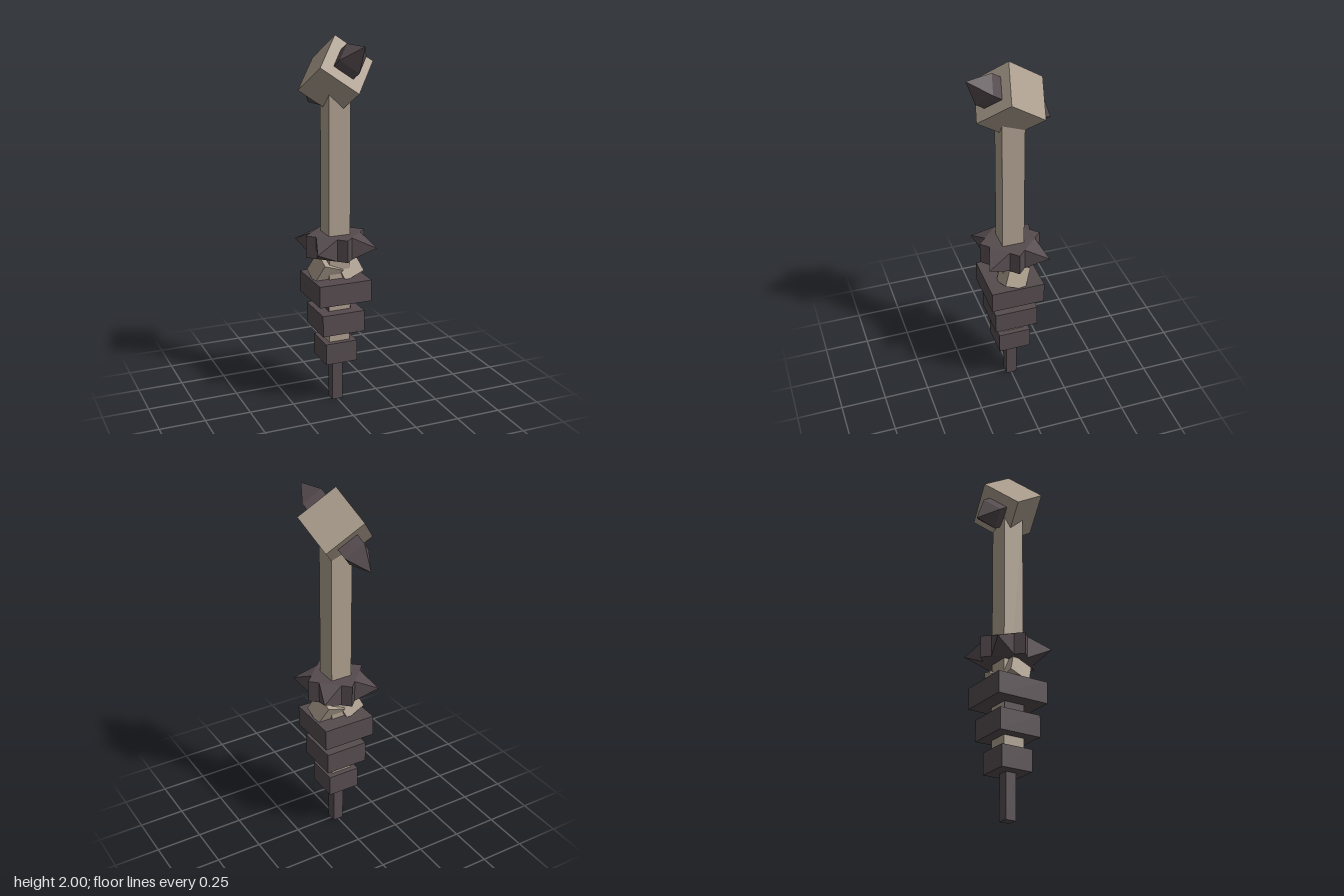
import * as THREE from 'three';

export function createModel() {
  const model = new THREE.Group();
  const bone = new THREE.MeshStandardMaterial({ color: 0xac9e8e, flatShading: true });
  const iron = new THREE.MeshStandardMaterial({ color: 0x554b4e, flatShading: true });
  bone.name = 'paleBone';
  iron.name = 'darkIron';

  function box(parent, name, material, w, h, d, x, y, z) {
    const mesh = new THREE.Mesh(new THREE.BoxGeometry(w, h, d), material);
    mesh.name = name;
    mesh.position.set(x, y, z);
    parent.add(mesh);
    return mesh;
  }

  // Square pyramid pointing along +z, with its base at the given z
  function spike(parent, name, z) {
    const geo = new THREE.ConeGeometry(0.06 * Math.SQRT2, 0.118, 4, 1);
    geo.rotateY(Math.PI / 4).rotateX(Math.PI / 2).translate(0, 0, z + 0.059);
    const mesh = new THREE.Mesh(geo, iron);
    mesh.name = name;
    parent.add(mesh);
  }

  // Handle: end pin, shaft and three stepped grip blocks
  box(model, 'endPin', iron, 0.06, 0.26, 0.06, 0, 0.13, 0);
  box(model, 'shaft', bone, 0.12, 1.44, 0.12, 0, 1.02, 0);
  [[0.18, 0.302], [0.24, 0.481], [0.296, 0.66]].forEach(([w, y]) =>
    box(model, 'gripBlock', iron, w, 0.118, w, 0, y, 0));

  // Dark inlays on the sides of the shaft between the upper grip blocks
  for (const s of [1, -1]) box(model, 'gripInlay', iron, 0.004, 0.066, 0.12, s * 0.061, 0.57, 0);

  // Two tilted knuckle cubes below the guard
  for (const turn of [0, Math.PI]) {
    const pivot = new THREE.Group();
    pivot.name = 'knuckle';
    pivot.rotation.y = turn;
    model.add(pivot);
    box(pivot, 'knuckleCube', bone, 0.12, 0.12, 0.12, 0.06, 0.758, 0).rotation.set(-0.4, 0, 0.37);
  }

  // Guard: block turned by 45 degrees with a spike on each side
  const guard = new THREE.Group();
  guard.name = 'spikedGuard';
  guard.position.y = 0.9;
  guard.rotation.y = Math.PI / 4;
  model.add(guard);
  box(guard, 'guardBlock', iron, 0.238, 0.12, 0.238, 0, 0, 0);
  for (let i = 0; i < 4; i++) {
    const side = new THREE.Group();
    side.name = 'guardSpike';
    side.rotation.y = i * Math.PI / 2;
    guard.add(side);
    spike(side, 'guardSpikePoint', 0.119);
  }

  // Head: cube standing on one corner, with a spike on two opposite faces
  const head = new THREE.Group();
  head.name = 'head';
  head.position.y = 1.795;
  const zAxis = new THREE.Vector3(0.2, 0.567, 0.8).normalize();
  const xAxis = new THREE.Vector3(0.8, -0.567, 0.2);
  xAxis.addScaledVector(zAxis, -xAxis.dot(zAxis)).normalize();
  const yAxis = new THREE.Vector3().crossVectors(zAxis, xAxis);
  head.quaternion.setFromRotationMatrix(new THREE.Matrix4().makeBasis(xAxis, yAxis, zAxis));
  model.add(head);
  box(head, 'headCube', bone, 0.238, 0.238, 0.238, 0, 0, 0);
  for (const turn of [0, Math.PI]) {
    const side = new THREE.Group();
    side.name = 'headSpike';
    side.rotation.y = turn;
    head.add(side);
    box(side, 'headSpikeBase', iron, 0.12, 0.12, 0.08, 0, 0, 0.139);
    spike(side, 'headSpikePoint', 0.179);
  }
  return model;
}
